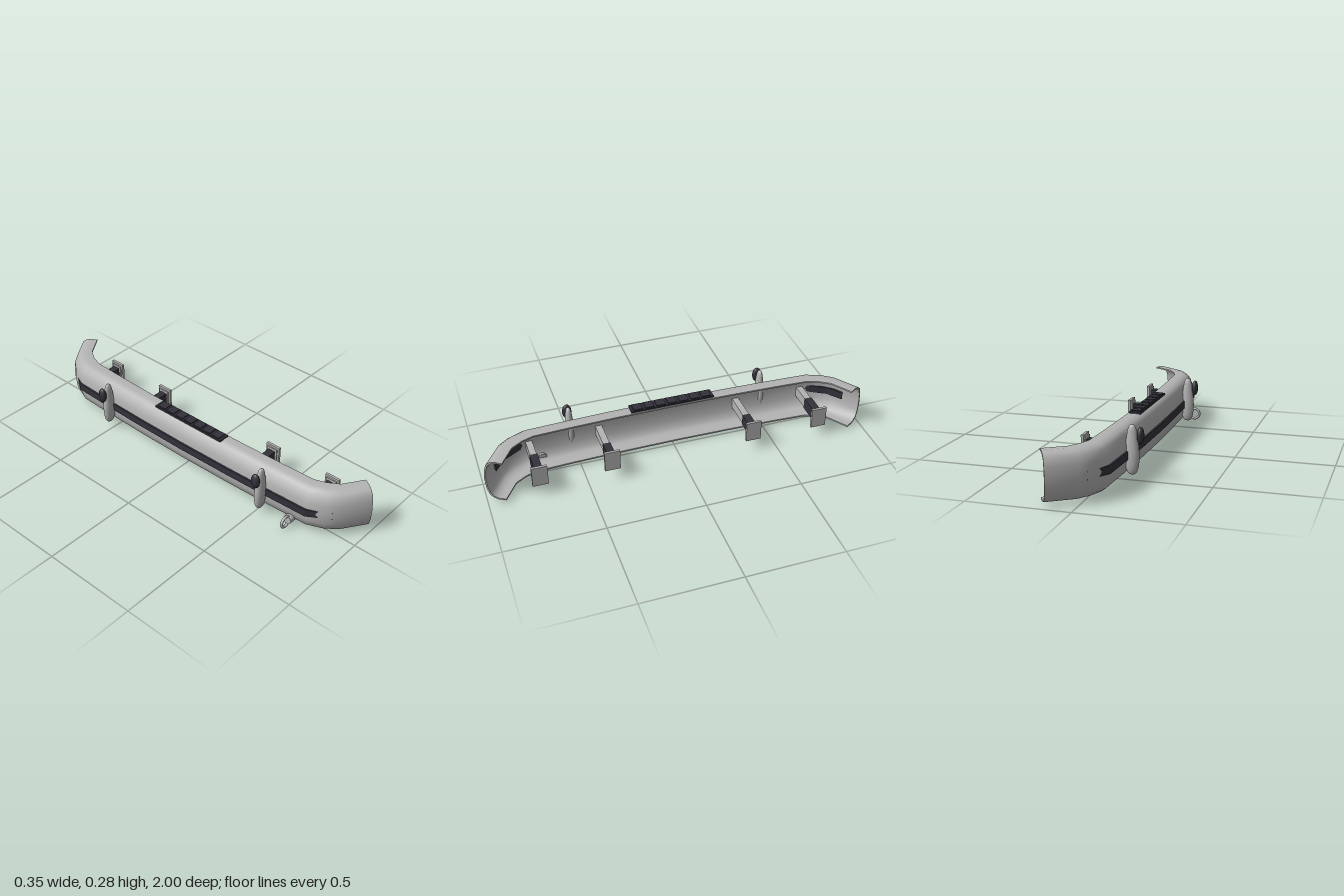
import * as THREE from 'three';

const steel = new THREE.MeshStandardMaterial({ color: 0xb4b4b4, side: THREE.DoubleSide });
steel.name = 'grey metal';
const rubber = new THREE.MeshStandardMaterial({ color: 0x33313a });
rubber.name = 'dark rubber';

function add(parent, name, geometry, material, x = 0, y = 0, z = 0) {
  const mesh = new THREE.Mesh(geometry, material);
  mesh.name = name;
  mesh.position.set(x, y, z);
  parent.add(mesh);
  return mesh;
}

// Box given by its x and y ranges, centred on z
function slab(parent, name, material, x0, x1, y0, y1, depth, z) {
  return add(parent, name, new THREE.BoxGeometry(x1 - x0, y1 - y0, depth), material,
    (x0 + x1) / 2, (y0 + y1) / 2, z);
}

// Surface through equal-length rows of points
function loft(rows) {
  const n = rows[0].length;
  const index = [];
  for (let i = 0; i < rows.length - 1; i++) {
    for (let j = 0; j < n - 1; j++) {
      const a = i * n + j;
      index.push(a, a + 1, a + n, a + 1, a + n + 1, a + n);
    }
  }
  const g = new THREE.BufferGeometry();
  g.setAttribute('position', new THREE.Float32BufferAttribute(rows.flat(2), 3));
  g.setIndex(index);
  g.computeVertexNormals();
  return g;
}

// Half of the plan: outer x, outer z, lip x, lip z
const half = [
  [-0.11, 0, -0.005, 0], [-0.107, 0.3, -0.002, 0.3], [-0.10, 0.55, 0.005, 0.55],
  [-0.091, 0.77, 0.013, 0.73], [-0.055, 0.855, 0.035, 0.79],
  [-0.01, 0.912, 0.07, 0.845], [0.12, 1.0, 0.174, 0.914],
];
const stations = [
  ...half.slice(1).reverse().map(([a, b, c, d]) => [a, -b, c, -d]), ...half,
];
// C-shaped section: share of the depth, height above the middle
const upper = [[1, 0.115], [0.62, 0.117], [0.36, 0.109], [0.17, 0.092], [0.05, 0.055], [0, 0]];
const section = [...upper, ...upper.slice(0, -1).reverse().map(([u, y]) => [u, -y])];
const innerSection = section.map(([u, y]) => [u + 0.08 * (1 - u), y * 0.93]);

function sweep(profile) {
  return stations.map(([ox, oz, lx, lz]) => profile.map(([u, y]) =>
    [ox + (lx - ox) * u, 0.131 + y, oz + (lz - oz) * u]));
}

function addShell(parent) {
  const shell = new THREE.Group();
  shell.name = 'bumperShell';
  parent.add(shell);
  const outer = sweep(section);
  const inner = sweep(innerSection);
  add(shell, 'outerSkin', loft(outer), steel);
  add(shell, 'innerSkin', loft(inner.map((r) => [...r].reverse())), steel);
  for (const i of [0, stations.length - 1]) {
    add(shell, 'endEdge', loft([outer[i], inner[i]]), steel);
  }
  for (const j of [0, section.length - 1]) {
    add(shell, 'lipEdge', loft([outer.map((r) => r[j]), inner.map((r) => r[j])]), steel);
  }
}

// Rubbing strip that dives through the shell at the corners
function addStrip(parent) {
  const side = [[-0.117, 0], [-0.114, 0.3], [-0.107, 0.55], [-0.098, 0.77], [-0.032, 0.882], [0.04, 0.938]];
  const front = [...side.slice(1).reverse().map(([x, z]) => [x, -z]), ...side];
  const back = front.map(([x, z]) => [x + 0.013, z * 0.993]).reverse();
  const shape = new THREE.Shape([...front, ...back].map(([x, z]) => new THREE.Vector2(x, z)));
  const g = new THREE.ExtrudeGeometry(shape, { depth: 0.04, bevelEnabled: false });
  g.rotateX(Math.PI / 2);
  add(parent, 'rubbingStrip', g, rubber, 0, 0.15, 0);
}

// Upright guard with a rubber buffer
function addOverrider(parent, z) {
  const pts = [[0, 0.035], [0.012, 0.037], [0.022, 0.046], [0.031, 0.07], [0.035, 0.11], [0.034, 0.15],
    [0.028, 0.205], [0.021, 0.25], [0.012, 0.27], [0, 0.275]];
  const curve = new THREE.SplineCurve(pts.map(([x, y]) => new THREE.Vector2(x, y)));
  const points = curve.getPoints(24).map((p) => p.set(Math.max(0, p.x), p.y));
  add(parent, 'overrider', new THREE.LatheGeometry(points, 24), steel, -0.12, 0, z).scale.z = 0.68;
  add(parent, 'overriderBuffer', new THREE.SphereGeometry(1, 20, 14), rubber, -0.161, 0.224, z)
    .scale.set(0.017, 0.041, 0.024);
}

// Bracket: steel arm, dark sleeve and bolted end plate
function addMount(parent, z, armStart, sleeveStart) {
  const mount = new THREE.Group();
  mount.name = 'mountingBracket';
  parent.add(mount);
  slab(mount, 'arm', steel, armStart, sleeveStart + 0.01, 0.091, 0.145, 0.034, z);
  slab(mount, 'sleeve', rubber, sleeveStart, 0.155, 0.088, 0.148, 0.04, z);
  slab(mount, 'backingPlate', steel, 0.15, 0.158, 0.076, 0.161, 0.06, z);
  slab(mount, 'endPlate', steel, 0.157, 0.171, 0.063, 0.173, 0.08, z);
}

export function createModel() {
  const model = new THREE.Group();
  model.name = 'bumper';
  addShell(model);
  addStrip(model);

  for (const s of [-1, 1]) {
    addOverrider(model, 0.52 * s);
    addMount(model, 0.375 * s, -0.1, 0.06);
    addMount(model, 0.74 * s, -0.085, 0.03);
  }

  // Ribbed step pad on the top
  slab(model, 'stepPad', rubber, -0.07, -0.01, 0.245, 0.255, 0.44, 0);
  for (let i = 0; i < 7; i++) {
    slab(model, 'stepRib', rubber, -0.065, -0.015, 0.254, 0.26, 0.048, (i - 3) * 0.061);
  }

  // Towing eye
  const boss = new THREE.CylinderGeometry(0.023, 0.023, 0.045, 20);
  boss.rotateZ(Math.PI / 2);
  add(model, 'towBoss', boss, steel, -0.085, 0.038, 0.68);
  add(model, 'towRing', new THREE.TorusGeometry(0.029, 0.007, 12, 28), steel, -0.121, 0.036, 0.68);
  return model;
}
